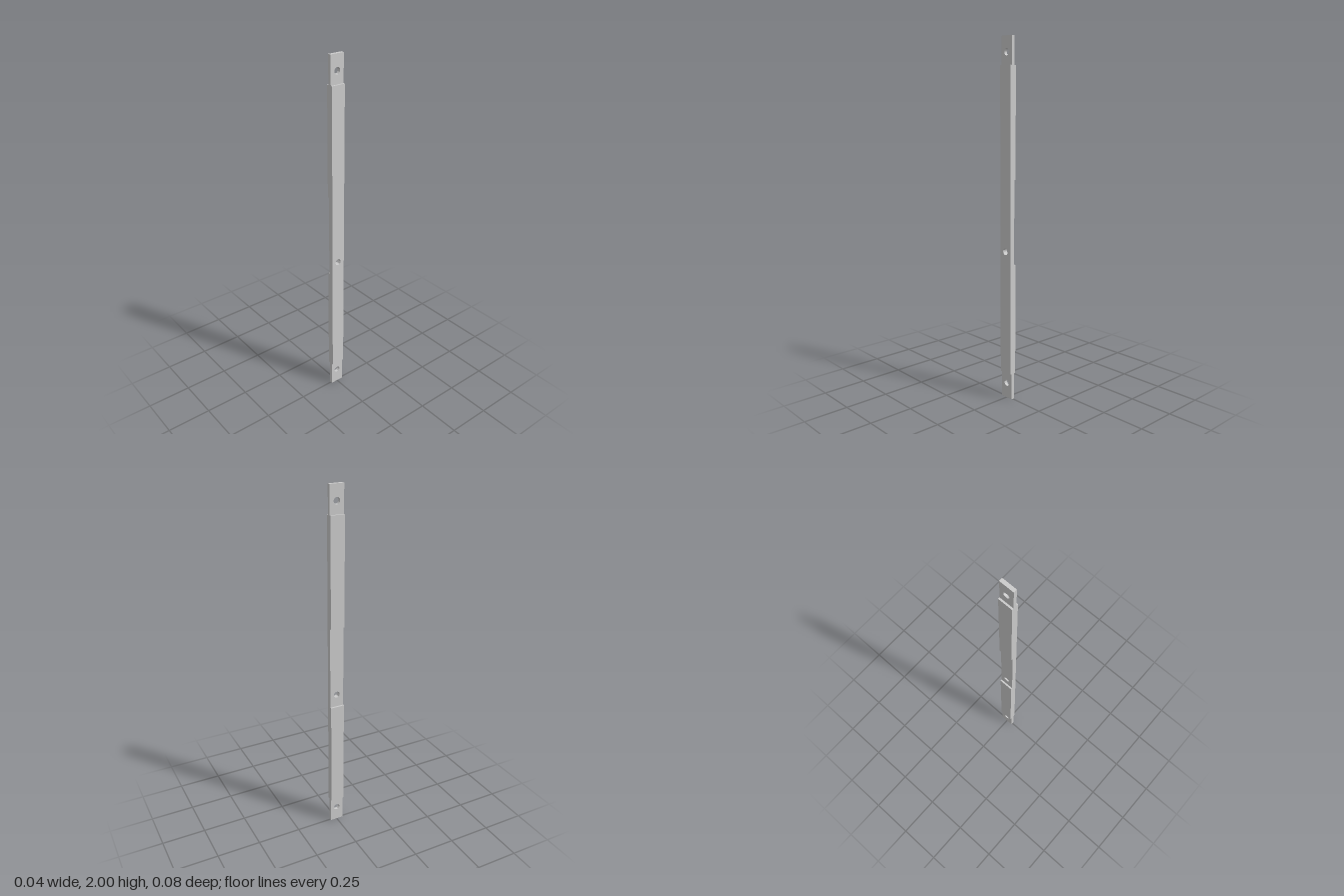
import * as THREE from 'three';
import { toCreasedNormals } from 'three/addons/utils/BufferGeometryUtils.js';

const HALF_WIDTH = 0.04;
const CORE = 0.0095; // half thickness of the tangs
const OUTER = 0.019; // half thickness of the body
const HOLE_RADIUS = 0.018;

export function createModel() {
  const group = new THREE.Group();
  group.name = 'flatBar';
  const material = new THREE.MeshStandardMaterial({ color: 0xcccccc });

  // Plate in the z-y plane from y0 to y1, extruded along x, with drilled holes
  function addPlate(name, x0, x1, y0, y1, holes = []) {
    const shape = new THREE.Shape([
      new THREE.Vector2(-HALF_WIDTH, y0),
      new THREE.Vector2(HALF_WIDTH, y0),
      new THREE.Vector2(HALF_WIDTH, y1),
      new THREE.Vector2(-HALF_WIDTH, y1),
    ]);
    for (const y of holes) {
      shape.holes.push(new THREE.Path().absarc(0, y, HOLE_RADIUS, 0, Math.PI * 2, true));
    }
    const geometry = new THREE.ExtrudeGeometry(shape, {
      depth: x1 - x0, bevelEnabled: false, curveSegments: 32,
    });
    geometry.rotateY(Math.PI / 2).translate(x0, 0, 0);
    const mesh = new THREE.Mesh(toCreasedNormals(geometry, 0.6), material);
    mesh.name = name;
    group.add(mesh);
  }

  // Full-length core whose ends form the drilled tangs
  addPlate('coreWithTangs', -CORE, CORE, 0, 2, [0.087, 0.853, 1.917]);
  // Thickening on the left side runs unbroken
  addPlate('leftCheek', CORE, OUTER, 0.15, 1.85, [0.853]);
  // Thickening on the right side leaves a notch in the middle
  addPlate('rightLowerCheek', -OUTER, -CORE, 0.15, 0.78);
  addPlate('rightUpperCheek', -OUTER, -CORE, 1.25, 1.85);

  return group;
}
